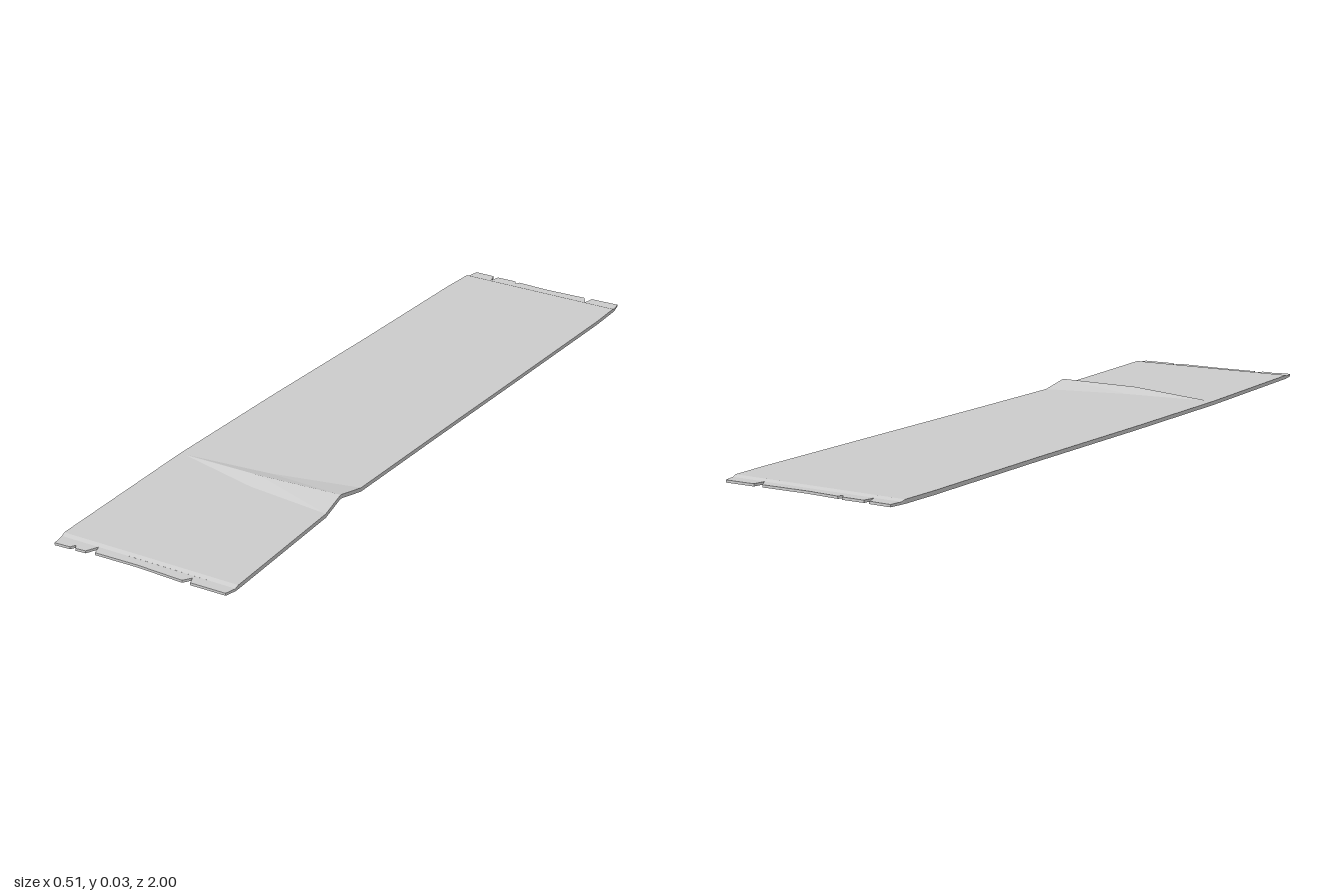
import * as THREE from 'three';

const THICK = 0.0105, LIP = 0.0065;

// Each row crosses the strip: [xLeft, xRight, zs of 4 columns, top heights of 4 columns]
const flat = (xl, xr, zl, zr = zl, h = THICK) => {
  const zm = (zl + zr) / 2;
  return [xl, xr, [zl, zl, zm, zr], [h, h, h, h]];
};
const rows = [
  flat(-0.243, 0.242, -0.966, -0.966, LIP),
  flat(-0.245, 0.243, -0.955),
  flat(-0.249, 0.246, -0.85),
  flat(-0.25, 0.241, -0.4),
  flat(-0.256, 0.235, 0.05),
  [-0.256, 0.232, [0.464, 0.468, 0.44, 0.385], [THICK, THICK, THICK, THICK]],
  [-0.256, 0.228, [0.468, 0.471, 0.485, 0.47], [THICK, THICK, 0.024, 0.0275]],
  [-0.256, 0.234, [0.472, 0.474, 0.525, 0.545], [THICK, THICK, THICK, THICK]],
  flat(-0.237, 0.255, 0.953, 0.938),
  flat(-0.235, 0.255, 0.964, 0.949, LIP),
];

function buildStrip() {
  const pos = [];
  const grid = (bottom) => rows.map(([xl, xr, zs, hs]) => {
    const xs = [xl, xl + 0.02, 0, xr];
    return xs.map((x, j) => [x, bottom ? Math.max(0, hs[j] - THICK) : hs[j], zs[j]]);
  });
  const quad = (a, b, c, d) => pos.push(...a, ...b, ...c, ...a, ...c, ...d);
  const top = grid(false), bot = grid(true), n = rows.length - 1;
  for (let i = 0; i < n; i++) {
    for (let j = 0; j < 3; j++) {
      quad(top[i][j], top[i + 1][j], top[i + 1][j + 1], top[i][j + 1]);
      quad(bot[i][j], bot[i][j + 1], bot[i + 1][j + 1], bot[i + 1][j]);
    }
    // long side edges
    quad(bot[i][0], bot[i + 1][0], top[i + 1][0], top[i][0]);
    quad(bot[i + 1][3], bot[i][3], top[i][3], top[i + 1][3]);
  }
  // short end edges
  for (let j = 0; j < 3; j++) {
    quad(bot[0][j + 1], bot[0][j], top[0][j], top[0][j + 1]);
    quad(bot[n][j], bot[n][j + 1], top[n][j + 1], top[n][j]);
  }
  const g = new THREE.BufferGeometry();
  g.setAttribute('position', new THREE.Float32BufferAttribute(pos, 3));
  g.computeVertexNormals();
  return g;
}

// Thin torn end, outlined in x and z
function buildLip(points) {
  const shape = new THREE.Shape(points.map(([x, z]) => new THREE.Vector2(x, z)));
  const g = new THREE.ExtrudeGeometry(shape, { depth: LIP, bevelEnabled: false });
  return g.rotateX(Math.PI / 2).translate(0, LIP, 0);
}

export function createModel() {
  const group = new THREE.Group();
  group.name = 'wrinkledStrip';
  const material = new THREE.MeshStandardMaterial({ color: 0xcccccc, flatShading: true });
  const add = (name, geometry) => {
    const mesh = new THREE.Mesh(geometry, material);
    mesh.name = name;
    group.add(mesh);
  };

  add('strip', buildStrip());

  add('backTornEnd', buildLip([
    [-0.243, -0.966], [-0.237, -1], [-0.178, -0.999], [-0.168, -0.967], [-0.162, -0.997],
    [-0.102, -0.998], [-0.094, -0.982], [-0.088, -0.996], [0.0, -0.991], [0.13, -0.995],
    [0.147, -0.967], [0.153, -0.998], [0.235, -1], [0.242, -0.966],
  ]));

  add('frontTornEnd', buildLip([
    [-0.235, 0.964], [-0.228, 1], [-0.185, 0.996], [-0.178, 0.983], [-0.17, 0.995],
    [-0.142, 0.992], [-0.128, 0.961], [-0.118, 0.987], [0.0, 0.981], [0.13, 0.983],
    [0.144, 0.962], [0.152, 0.982], [0.248, 0.978], [0.255, 0.949],
  ]));

  return group;
}
